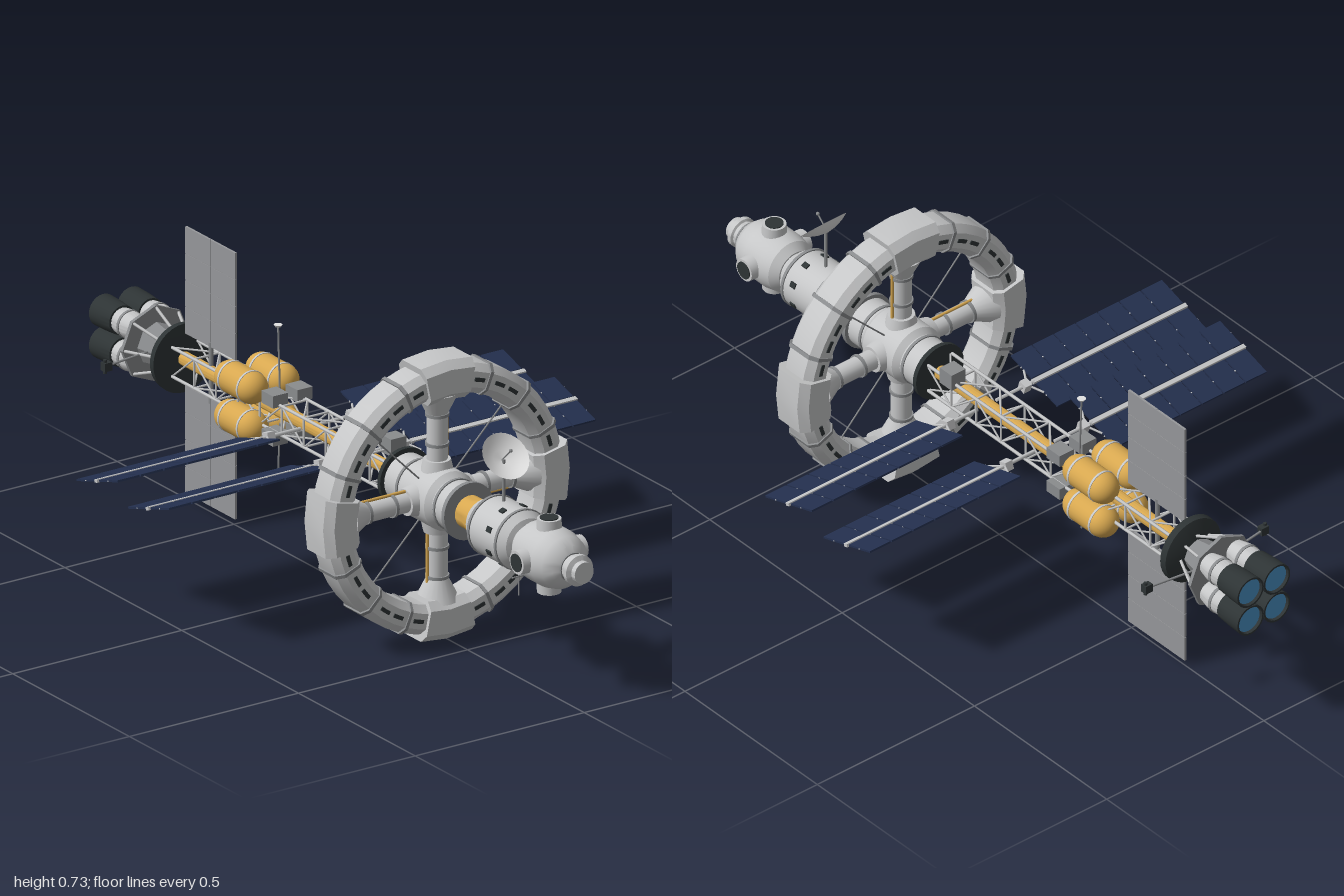
import * as THREE from 'three';
import { mergeGeometries, toCreasedNormals } from 'three/addons/utils/BufferGeometryUtils.js';

const paint = (name, color, side = THREE.FrontSide) => {
  const m = new THREE.MeshStandardMaterial({ color, side });
  m.name = name;
  return m;
};
const V = (x, y, z) => new THREE.Vector3(x, y, z);

export function createModel() {
  const hull = paint('hull grey', 0xc6c7c8);
  const trim = paint('mid grey', 0x8a8c8e);
  const dark = paint('charcoal', 0x2e3435, THREE.DoubleSide);
  const gold = paint('gold foil', 0xd8a850);
  const navy = paint('solar navy', 0x24304f);
  const glow = paint('engine blue', 0x4a90c4);
  const white = paint('dish white', 0xe2e2e2, THREE.DoubleSide);
  const radiatorGrey = paint('radiator grey', 0x96979a);

  const model = new THREE.Group();
  const ship = new THREE.Group();
  ship.name = 'ship';
  ship.position.y = 0.365; // everything below is measured from the long axis
  model.add(ship);

  const add = (name, geo, mat, parent = ship, x = 0, y = 0, z = 0) => {
    const mesh = new THREE.Mesh(geo, mat);
    mesh.name = name;
    mesh.position.set(x, y, z);
    parent.add(mesh);
    return mesh;
  };
  const group = (name, parent = ship) => {
    const g = new THREE.Group();
    g.name = name;
    parent.add(g);
    return g;
  };
  const box = (w, h, d, x = 0, y = 0, z = 0) => new THREE.BoxGeometry(w, h, d).translate(x, y, z);
  // Profile of [radius, z] pairs turned about the z axis, listed from back to front
  const turned = (pts, sides = 32) => toCreasedNormals(
    new THREE.LatheGeometry(pts.map(p => new THREE.Vector2(...p)), sides).rotateX(Math.PI / 2), 0.5);
  const drum = (r, z0, z1, sides) => turned([[0, z0], [r, z0], [r, z1], [0, z1]], sides);
  const rod = (a, b, r, sides = 6) => {
    const d = b.clone().sub(a);
    const q = new THREE.Quaternion().setFromUnitVectors(V(0, 1, 0), d.clone().normalize());
    return new THREE.CylinderGeometry(r, r, d.length(), sides).applyQuaternion(q)
      .translate(...a.clone().add(b).multiplyScalar(0.5).toArray());
  };
  // Closed [radius, z] section swept about the z axis between two angles in degrees
  const arc = (section, from, to, steps) => {
    const n = section.length, pos = [];
    const P = (i, j) => {
      const t = THREE.MathUtils.degToRad(from + (to - from) * i / steps);
      const [u, v] = section[j % n];
      return [u * Math.cos(t), u * Math.sin(t), v];
    };
    for (let i = 0; i < steps; i++) for (let j = 0; j < n; j++) {
      const a = P(i, j), b = P(i, j + 1), c = P(i + 1, j + 1), d = P(i + 1, j);
      pos.push(...a, ...d, ...c, ...a, ...c, ...b);
    }
    if (to - from < 360) for (let j = 1; j < n - 1; j++) {
      pos.push(...P(0, 0), ...P(0, j), ...P(0, j + 1));
      pos.push(...P(steps, 0), ...P(steps, j + 1), ...P(steps, j));
    }
    const g = new THREE.BufferGeometry();
    g.setAttribute('position', new THREE.Float32BufferAttribute(pos, 3));
    return toCreasedNormals(g, 0.3);
  };
  const chamfered = (r0, r1, h, c) => [[r0 + c, -h], [r1 - c, -h], [r1, -h + c], [r1, h - c],
    [r1 - c, h], [r0 + c, h], [r0, h - c], [r0, -h + c]];

  // Habitat ring
  const ring = group('habitatRing');
  ring.position.z = 0.37;
  add('ringHull', arc(chamfered(0.272, 0.348, 0.051, 0.018), 0, 360, 48), hull, ring);
  const joints = [], windows = [];
  for (let q = 0; q < 360; q += 90) {
    add('ringNode', arc(chamfered(0.262, 0.365, 0.06, 0.02), q - 12, q + 12, 2), hull, ring);
    for (const a of [22.5, 45, 67.5])
      joints.push(arc(chamfered(0.269, 0.352, 0.054, 0.018), q + a - 0.8, q + a + 0.8, 1));
    for (const a of [17, 29, 37.5, 52.5, 61, 73]) for (const z of [-0.0515, 0.0515])
      windows.push(arc([[0.305, z - 0.002], [0.315, z - 0.002], [0.315, z + 0.002], [0.305, z + 0.002]],
        q + a - 2.8, q + a + 2.8, 2));
  }
  add('ringJoints', mergeGeometries(joints), trim, ring);
  add('ringWindows', mergeGeometries(windows), dark, ring);

  // Spokes with flared ends, collars, a gold pipe and a diagonal cable each
  for (let i = 0; i < 4; i++) {
    const spoke = group('spoke', ring);
    spoke.rotation.z = -i * Math.PI / 2;
    const cyl = (top, bottom, y0, y1) =>
      new THREE.CylinderGeometry(top, bottom, y1 - y0, 20).translate(0, (y0 + y1) / 2, 0);
    add('spokeTube', cyl(0.026, 0.026, 0.05, 0.27), hull, spoke);
    add('spokeFlare', cyl(0.055, 0.027, 0.215, 0.272), hull, spoke);
    add('spokeRoot', cyl(0.034, 0.042, 0.06, 0.095), hull, spoke);
    for (const y of [0.135, 0.212]) add('spokeCollar', cyl(0.03, 0.03, y - 0.004, y + 0.004), trim, spoke);
    add('spokePipe', rod(V(0.029, 0.07, 0), V(0.029, 0.225, 0), 0.004), gold, spoke);
    add('cable', rod(V(0.045, 0.045, 0), V(0.196, 0.196, 0), 0.0022), trim, spoke);
  }

  // Hub
  add('hub', turned([[0, 0.235], [0.064, 0.235], [0.064, 0.3], [0.077, 0.315], [0.077, 0.425],
    [0.064, 0.44], [0.064, 0.5], [0, 0.5]]), hull);
  add('rearFlange', drum(0.076, 0.224, 0.236), dark);
  add('frontFlange', drum(0.074, 0.495, 0.507), trim);
  for (const z of [0.29, 0.45]) add('hubBand', drum(0.067, z - 0.004, z + 0.004), trim);

  // Forward modules
  add('goldAdapter', turned([[0, 0.5], [0.042, 0.505], [0.042, 0.535], [0.055, 0.585], [0, 0.585]]), gold);
  add('serviceModule', turned([[0, 0.572], [0.055, 0.572], [0.076, 0.61], [0.076, 0.735],
    [0.062, 0.755], [0.048, 0.76], [0.048, 0.785], [0, 0.785]]), hull);
  for (const z of [0.615, 0.73]) add('moduleBand', drum(0.079, z - 0.004, z + 0.004), trim);
  add('commandModule', turned([[0, 0.77], [0.052, 0.77], [0.07, 0.79], [0.076, 0.82], [0.076, 0.88],
    [0.068, 0.915], [0.05, 0.937], [0.034, 0.945], [0.034, 0.965], [0.04, 0.968], [0.04, 0.98],
    [0.028, 0.985], [0.028, 1], [0, 1]]), hull);
  add('noseBand', drum(0.037, 0.948, 0.953), trim);
  for (let i = 0; i < 4; i++) {
    const side = group('moduleSide');
    side.rotation.z = i * Math.PI / 2;
    add('portCollar', new THREE.CylinderGeometry(0.03, 0.032, 0.035, 20), hull, side, 0, 0.079, 0.85);
    add('portWindow', new THREE.CylinderGeometry(0.023, 0.023, 0.004, 20), dark, side, 0, 0.097, 0.85);
    for (const x of [-0.03, 0.03])
      add('moduleWindow', box(0.014, 0.006, 0.018), dark, side, x, 0.07, 0.695).rotation.z = -x * 13;
  }

  // Dish antenna and lower whip
  add('dishMast', rod(V(0, 0.07, 0.655), V(0, 0.185, 0.655), 0.004), trim);
  const dish = group('dish');
  dish.position.set(0, 0.197, 0.664);
  dish.rotation.x = 0.8;
  add('dishBowl', new THREE.LatheGeometry([[0.001, -0.022], [0.025, -0.018], [0.046, -0.01], [0.063, 0]]
    .map(p => new THREE.Vector2(...p)), 28), white, dish);
  add('dishFeed', rod(V(0, -0.022, 0), V(0, 0.03, 0), 0.002), trim, dish);
  add('dishHorn', new THREE.SphereGeometry(0.005, 8, 6), trim, dish, 0, 0.03);
  add('lowerWhip', rod(V(0, -0.07, 0.72), V(0, -0.15, 0.72), 0.002), trim);
  add('whipBar', rod(V(-0.02, -0.1, 0.72), V(0.02, -0.1, 0.72), 0.002), trim);

  // Spine truss
  const bars = [], h = 0.038, z0 = 0.23, bays = 10, bay = 0.094;
  const corners = [[h, h], [-h, h], [-h, -h], [h, -h]];
  corners.forEach(([x, y], c) => {
    const [x2, y2] = corners[(c + 1) % 4];
    bars.push(rod(V(x, y, z0), V(x, y, z0 - bays * bay), 0.0045));
    for (let i = 0; i < bays; i++) {
      const za = z0 - i * bay, zb = za - bay;
      bars.push(rod(V(x, y, za), V(x2, y2, za), 0.003));
      bars.push(i % 2 ? rod(V(x, y, za), V(x2, y2, zb), 0.0025) : rod(V(x2, y2, za), V(x, y, zb), 0.0025));
    }
  });
  add('truss', mergeGeometries(bars), hull);
  add('spineTube', drum(0.018, -0.72, 0.24, 16), gold);
  add('equipmentBox', box(0.045, 0.045, 0.045), trim, ship, 0.03, 0.05, 0.14);
  for (const x of [-1, 1]) for (const y of [-1, 1])
    add('equipmentBox', box(0.045, 0.032, 0.05), trim, ship, x * 0.036, y * 0.05, -0.273);

  // Tall antennas
  for (const s of [-1, 1]) {
    const tip = V(0, s > 0 ? 0.218 : -0.17, -0.311);
    add('mast', rod(V(0, s * 0.035, -0.303), tip, 0.0025), trim);
    if (s > 0) add('mastDisc', new THREE.CylinderGeometry(0.011, 0.007, 0.006, 12), white, ship, ...tip.toArray());
  }

  // Fuel tanks
  for (const x of [-0.046, 0.046]) for (const y of [-0.051, 0.051]) {
    add('tank', new THREE.CapsuleGeometry(0.041, 0.09, 8, 24).rotateX(Math.PI / 2), gold, ship, x, y, -0.402);
    for (const z of [-0.362, -0.442]) add('tankStrap', drum(0.0425, -0.003, 0.003, 24), hull, ship, x, y, z);
  }

  // Radiators: two columns of four panels above and below
  for (const s of [-1, 1]) {
    const radiator = group('radiator');
    for (let c = 0; c < 2; c++) for (let r = 0; r < 4; r++)
      add('radiatorPanel', box(0.006, 0.069, 0.106), radiatorGrey, radiator, 0, s * (0.103 + r * 0.0705), -0.544 - c * 0.1075);
    add('radiatorSpar', box(0.004, 0.28, 0.005), trim, radiator, 0, s * 0.208, -0.598);
    for (let r = 1; r < 4; r++) add('radiatorRib', box(0.004, 0.003, 0.21), trim, radiator, 0, s * (0.068 + r * 0.0705), -0.598);
    add('radiatorMount', rod(V(0, s * 0.02, -0.598), V(0, s * 0.08, -0.598), 0.006), trim, radiator);
  }

  // Solar wings, tilted opposite ways on the two sides
  for (const s of [-1, 1]) for (const z of [0.047, -0.173]) {
    const wing = group('solarWing');
    wing.position.z = z;
    wing.rotation.x = s * 0.3;
    for (let i = 0; i < 7; i++) for (const side of [-1, 1])
      add('solarCell', box(0.065, 0.005, 0.083), navy, wing, s * (0.183 + i * 0.0692), 0, side * 0.0505);
    add('wingSpar', box(0.49, 0.008, 0.012), hull, wing, s * 0.39);
    for (const side of [-1, 1]) {
      add('wingRail', box(0.484, 0.003, 0.003), hull, wing, s * 0.39, 0, side * 0.05);
      add('wingYoke', rod(V(s * 0.128, 0, 0), V(s * 0.15, 0, side * 0.04), 0.003), hull, wing);
    }
    add('wingBoom', rod(V(s * 0.03, 0, 0), V(s * 0.15, 0, 0), 0.005), hull, wing);
    add('wingGimbal', box(0.022, 0.024, 0.024), hull, wing, s * 0.122);
  }

  // Engine section: shield, thrust block, struts and plate
  add('shield', turned([[0, -0.75], [0.05, -0.748], [0.088, -0.733], [0.09, -0.715], [0, -0.712]]), dark);
  add('thrustBlock', turned([[0, -0.84], [0.058, -0.84], [0.04, -0.74], [0, -0.74]], 8), trim);
  add('thrustPlate', drum(0.1, -0.842, -0.832, 8), trim);
  for (let i = 0; i < 8; i++) {
    const c = Math.cos(i * Math.PI / 4), s = Math.sin(i * Math.PI / 4);
    add('thrustStrut', rod(V(0.05 * c, 0.05 * s, -0.745), V(0.094 * c, 0.094 * s, -0.834), 0.004), hull);
  }
  for (const s of [-1, 1]) {
    add('thrusterBoom', rod(V(s * 0.04, 0, -0.8), V(s * 0.19, 0, -0.778), 0.003), trim);
    add('thrusterPod', box(0.022, 0.022, 0.018), dark, ship, s * 0.185, 0, -0.778);
    add('thrusterJets', rod(V(s * 0.19, -0.018, -0.778), V(s * 0.19, 0.018, -0.778), 0.005), dark);
  }

  // Four engines
  for (const x of [-0.042, 0.042]) for (const y of [-0.042, 0.042]) {
    const engine = group('engine');
    engine.position.set(x, y, 0);
    add('engineBody', turned([[0, -0.925], [0.032, -0.925], [0.035, -0.9], [0.035, -0.87], [0.028, -0.84], [0, -0.84]], 24), hull, engine);
    add('engineBand', drum(0.037, -0.89, -0.882, 24), trim, engine);
    add('nozzle', turned([[0.035, -0.99], [0.037, -1], [0.042, -1], [0.041, -0.96], [0.038, -0.918], [0, -0.916]], 24), dark, engine);
    add('engineGlow', drum(0.0365, -0.992, -0.986, 24), glow, engine);
  }
  return model;
}
